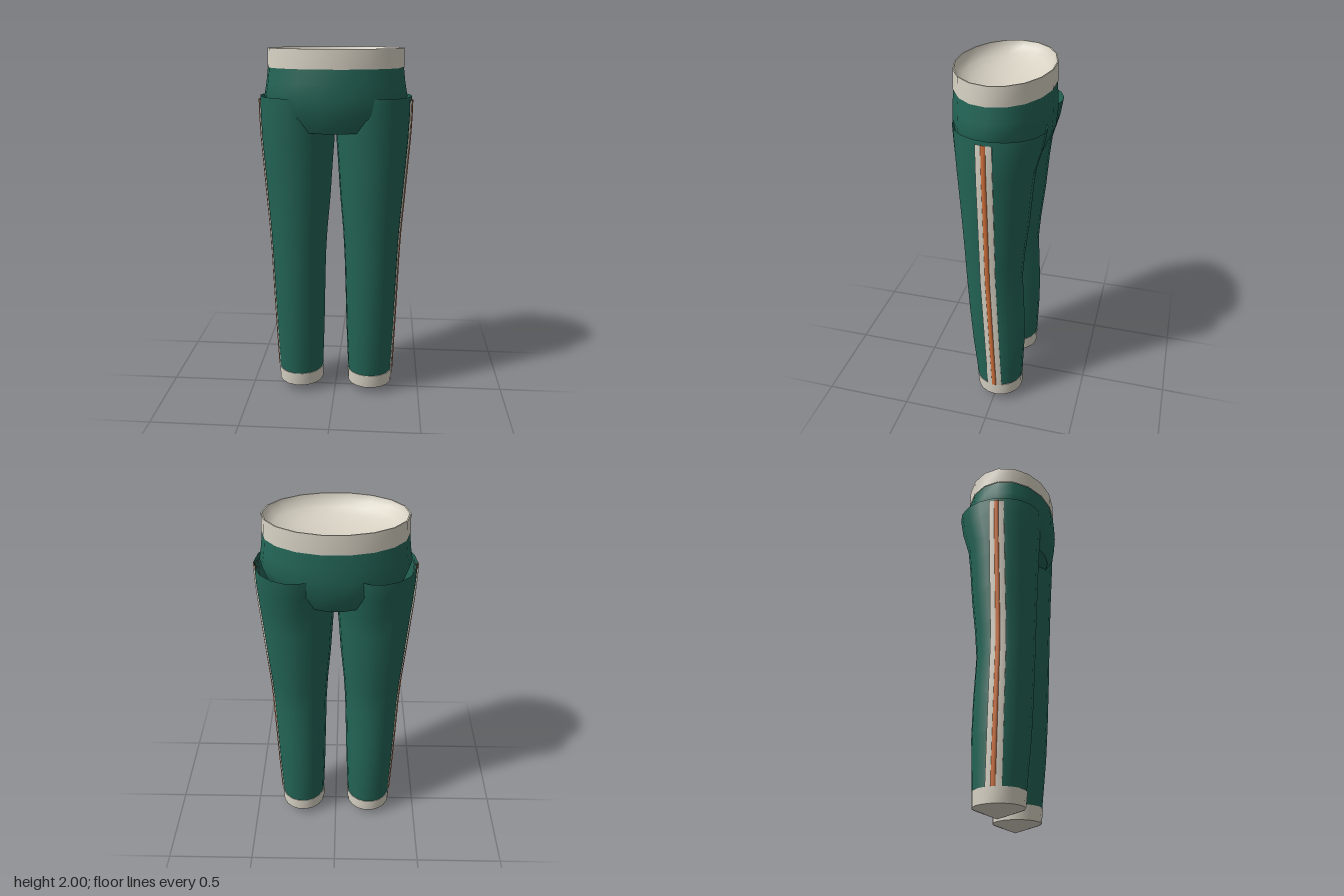
import * as THREE from 'three';

const SIDES = 18;

// Leg rings, bottom to top: [y, inner x, outer x, back z, front z]
const LEG = [
  [0.12, 0.077, 0.338, -0.150, 0.122],
  [0.40, 0.066, 0.348, -0.160, 0.150],
  [0.60, 0.061, 0.354, -0.155, 0.163],
  [0.85, 0.054, 0.361, -0.142, 0.175],
  [1.00, 0.045, 0.368, -0.153, 0.181],
  [1.20, 0.027, 0.383, -0.175, 0.190],
  [1.40, 0.014, 0.397, -0.190, 0.200],
  [1.52, 0.005, 0.406, -0.203, 0.207],
  [1.65, 0.000, 0.412, -0.240, 0.215],
  [1.75, 0.000, 0.413, -0.256, 0.220],
];

// Skin a list of elliptical rings {y, cx, cz, rx, rz}; ascending rings face outward
function loft(rings) {
  const pos = [], idx = [];
  for (const r of rings) {
    for (let i = 0; i < SIDES; i++) {
      const a = (i / SIDES) * Math.PI * 2;
      pos.push(r.cx + r.rx * Math.cos(a), r.y, r.cz + r.rz * Math.sin(a));
    }
  }
  for (let k = 0; k < rings.length - 1; k++) {
    for (let i = 0; i < SIDES; i++) {
      const j = (i + 1) % SIDES;
      const a = k * SIDES + i, b = k * SIDES + j;
      idx.push(a, a + SIDES, b, b, a + SIDES, b + SIDES);
    }
  }
  return finish(pos, idx);
}

function finish(pos, idx) {
  const g = new THREE.BufferGeometry();
  g.setAttribute('position', new THREE.Float32BufferAttribute(pos, 3));
  g.setIndex(idx);
  g.computeVertexNormals();
  return g;
}

const ring = (y, rx, rz, cx = 0, cz = 0.003) => ({ y, rx, rz, cx, cz });

// Interpolated leg ring at height y, for the side given by s (+1 or -1)
function legRing(y, s) {
  let k = 0;
  while (k < LEG.length - 2 && LEG[k + 1][0] < y) k++;
  const t = (y - LEG[k][0]) / (LEG[k + 1][0] - LEG[k][0]);
  const [, x0, x1, z0, z1] = LEG[k].map((v, i) => THREE.MathUtils.lerp(v, LEG[k + 1][i], t));
  return ring(y, (x1 - x0) / 2, (z1 - z0) / 2, s * (x0 + x1) / 2, (z0 + z1) / 2);
}

// Thin raised strip running down the outside of a leg
function stripe(s, halfWidth, lift) {
  const pos = [], idx = [], rows = 24;
  const cols = [[-1, -0.004], [-1, lift], [0, lift], [1, lift], [1, -0.004]];
  for (let k = 0; k <= rows; k++) {
    const y = THREE.MathUtils.lerp(0.125, 1.73, k / rows);
    const r = legRing(y, s);
    const zc = y < 0.9 ? THREE.MathUtils.mapLinear(y, 0.125, 0.9, -0.012, 0.012)
      : THREE.MathUtils.mapLinear(y, 0.9, 1.73, 0.012, 0.007);
    for (const [u, off] of cols) {
      const z = zc + u * halfWidth;
      const x = r.rx * Math.sqrt(1 - ((z - r.cz) / r.rz) ** 2) + off;
      pos.push(r.cx + s * x, y, z);
    }
  }
  const n = cols.length;
  for (let k = 0; k < rows; k++) {
    for (let i = 0; i < n - 1; i++) {
      const a = k * n + i, b = a + 1, c = a + n, d = b + n;
      if (s > 0) idx.push(a, c, b, b, c, d);
      else idx.push(a, b, c, b, d, c);
    }
  }
  return finish(pos, idx);
}

export function createModel() {
  const model = new THREE.Group();
  model.name = 'trousers';
  const material = (name, color) => {
    const m = new THREE.MeshStandardMaterial({ color, side: THREE.DoubleSide });
    m.name = name;
    return m;
  };
  const green = material('green cloth', 0x236456);
  const cream = material('cream trim', 0xd8d2c4);
  const orange = material('orange stripe', 0xd0703a);
  const add = (name, geometry, mat) => {
    const mesh = new THREE.Mesh(geometry, mat);
    mesh.name = name;
    model.add(mesh);
  };

  // Waistband with a thin rim and a hollow inside
  add('waistband', loft([ring(1.9, 0.368, 0.256), ring(2, 0.364, 0.254)]), cream);
  add('waistRim', loft([ring(2, 0.364, 0.254), ring(2, 0.357, 0.248)]), cream);
  const bowl = [];
  for (let i = 0; i <= 6; i++) {
    const a = (i / 6) * Math.PI / 2;
    bowl.push(ring(2 - 0.12 * Math.sin(a), 0.357 * Math.cos(a), 0.248 * Math.cos(a)));
  }
  add('waistInside', loft(bowl), cream);

  // Hips, narrowing to a flat crotch
  add('hips', loft([
    ring(1.57, 0.25, 0.215), ring(1.66, 0.355, 0.255), ring(1.75, 0.388, 0.262),
    ring(1.82, 0.375, 0.26), ring(1.9, 0.365, 0.254),
  ]), green);
  add('crotch', loft([ring(1.57, 0, 0), ring(1.57, 0.25, 0.215)]), green);

  for (const s of [1, -1]) {
    const side = s > 0 ? 'left' : 'right';
    add(side + 'Leg', loft(LEG.map(r => legRing(r[0], s))), green);

    // Cuff with a shallow pointed underside
    const top = ring(0.125, 0.135, 0.139, s * 0.208, -0.013);
    const low = ring(0.045, 0.132, 0.134, s * 0.208, -0.016);
    add(side + 'Cuff', loft([low, top]), cream);
    add(side + 'CuffTop', loft([top, ring(0.125, 0.12, 0.125, s * 0.208, -0.013)]), cream);
    add(side + 'CuffUnderside', loft([ring(0, 0, 0, s > 0 ? 0.225 : -0.18, -0.03), low]), cream);

    // Side stripes
    add(side + 'WideStripe', stripe(s, 0.042, 0.005), cream);
    add(side + 'NarrowStripe', stripe(s, 0.012, 0.008), orange);
  }
  return model;
}
